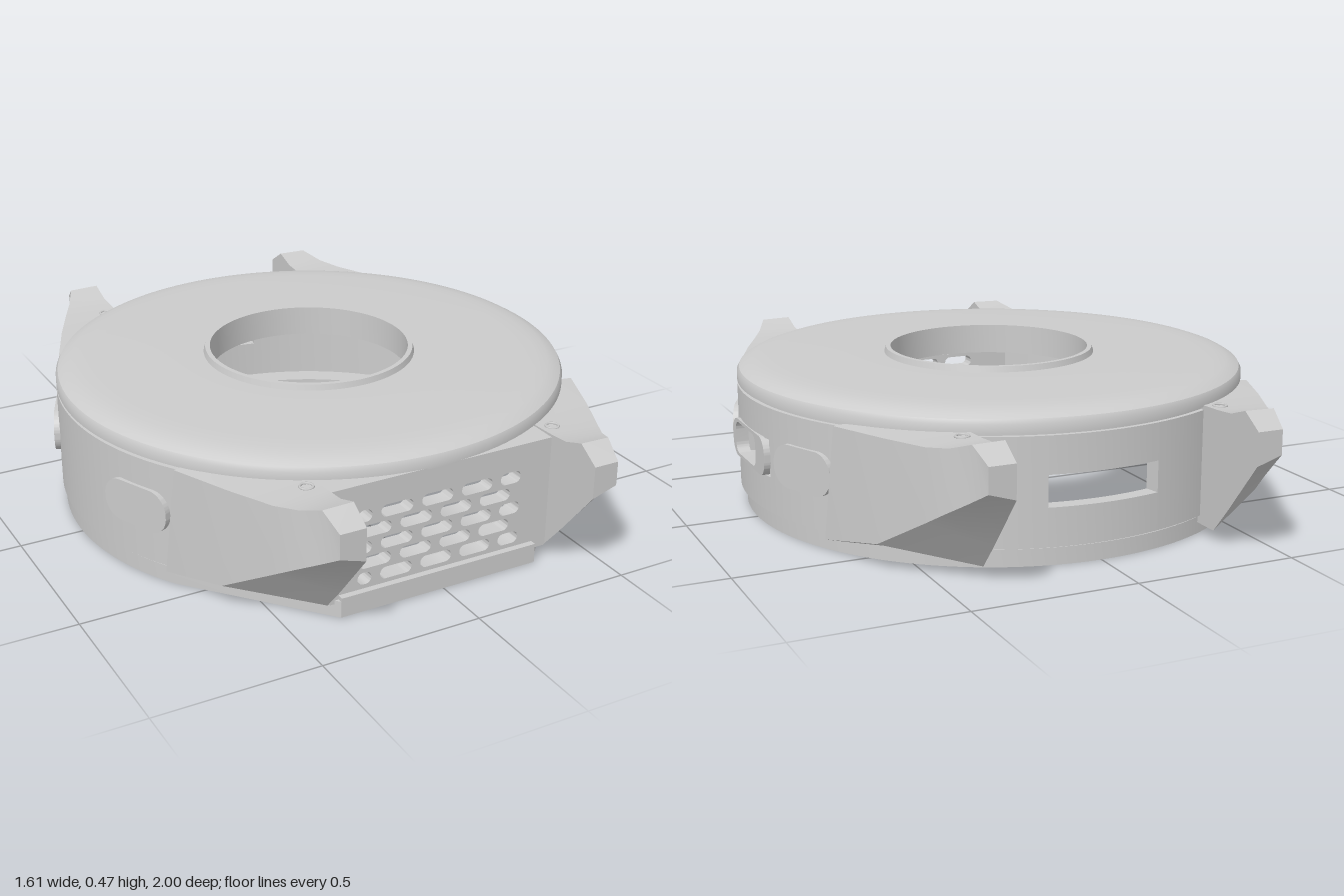
import * as THREE from 'three';
import { toCreasedNormals } from 'three/addons/utils/BufferGeometryUtils.js';

const R = 0.802, RI = 0.755, PI = Math.PI;
const mat = new THREE.MeshStandardMaterial({ color: 0xcccccc, side: THREE.DoubleSide });

function add(parent, name, geo) {
  const mesh = new THREE.Mesh(geo, mat);
  mesh.name = name;
  parent.add(mesh);
  return mesh;
}

function box(parent, name, x0, x1, y0, y1, z0, z1) {
  const geo = new THREE.BoxGeometry(x1 - x0, y1 - y0, z1 - z0);
  return add(parent, name, geo.translate((x0 + x1) / 2, (y0 + y1) / 2, (z0 + z1) / 2));
}

// Extrude a plan shape (drawn in x, -z) upward from y0 to y1
function slab(shape, y0, y1, curveSegments = 64) {
  const geo = new THREE.ExtrudeGeometry(shape, { depth: y1 - y0, bevelEnabled: false, curveSegments });
  return toCreasedNormals(geo.rotateX(-PI / 2).translate(0, y0, 0), 0.5);
}

// Curved piece of wall; angle 0 is +x, PI / 2 is the back
function arcWall(a0, a1, y0, y1, ro = R) {
  const s = new THREE.Shape();
  s.absarc(0, 0, ro, a0, a1, false);
  s.absarc(0, 0, RI, a1, a0, true);
  return slab(s, y0, y1, Math.max(8, Math.ceil((a1 - a0) * 18)));
}

// Rounded outline used for slots, buttons and frames
function roundRect(path, x0, x1, y0, y1, r) {
  path.moveTo(x0 + r, y0);
  path.lineTo(x1 - r, y0);
  path.absarc(x1 - r, y0 + r, r, -PI / 2, 0, false);
  path.lineTo(x1, y1 - r);
  path.absarc(x1 - r, y1 - r, r, 0, PI / 2, false);
  path.lineTo(x0 + r, y1);
  path.absarc(x0 + r, y1 - r, r, PI / 2, PI, false);
  path.lineTo(x0, y0 + r);
  path.absarc(x0 + r, y0 + r, r, PI, PI * 1.5, false);
  return path;
}

function plate(shape, depth) {
  return toCreasedNormals(
    new THREE.ExtrudeGeometry(shape, { depth, bevelEnabled: false, curveSegments: 10 }), 0.6);
}

// Lug sections from tip to body: outer top, inner top, inner bottom, outer bottom
const LUG = [
  [[0.45, 0.385, 1], [0.37, 0.385, 1], [0.37, 0.285, 1], [0.45, 0.31, 1]],
  [[0.465, 0.428, 0.93], [0.37, 0.43, 0.93], [0.37, 0.2, 0.93], [0.48, 0.267, 0.93]],
  [[0.5, 0.404, 0.86], [0.37, 0.406, 0.86], [0.37, 0.115, 0.86], [0.512, 0.225, 0.86]],
  [[0.538, 0.394, 0.79], [0.37, 0.4, 0.79], [0.37, 0.035, 0.79], [0.543, 0.182, 0.79]],
  [[0.605, 0.392, 0.65], [0.37, 0.396, 0.685], [0.37, 0.035, 0.685], [0.62, 0.085, 0.63]],
  [[0.683, 0.39, 0.465], [0.62, 0.394, 0.46], [0.62, 0.035, 0.46], [0.7, 0.045, 0.42]],
];

function lugGeometry(sx, sz) {
  const pos = LUG.flat().flatMap(([x, y, z]) => [x * sx, y, z * sz]);
  const index = [];
  const quad = (a, b, c, d) => index.push(...(sx * sz > 0 ? [a, b, c, a, c, d] : [a, c, b, a, d, c]));
  for (let i = 0; i < LUG.length - 1; i++) {
    for (let j = 0; j < 4; j++) {
      const k = (j + 1) % 4, p = i * 4, q = p + 4;
      quad(p + j, q + j, q + k, p + k);
    }
  }
  const e = (LUG.length - 1) * 4;
  quad(0, 1, 2, 3);
  quad(e + 3, e + 2, e + 1, e);
  const geo = new THREE.BufferGeometry();
  geo.setAttribute('position', new THREE.Float32BufferAttribute(pos, 3));
  geo.setIndex(index);
  return toCreasedNormals(geo, 0.3);
}

export function createModel() {
  const model = new THREE.Group();
  model.name = 'watchCase';

  // Round body, set slightly off the lug centre line
  const body = new THREE.Group();
  body.name = 'roundBody';
  body.position.x = -0.007;
  model.add(body);

  // Top cover with rounded shoulder and raised rim round the hole
  const cover = [[0.36, 0.392], [0.802, 0.392], [0.802, 0.418], [0.795, 0.431], [0.778, 0.441],
    [0.755, 0.449], [0.72, 0.454], [0.67, 0.457], [0.335, 0.457], [0.33, 0.475], [0.315, 0.475],
    [0.315, 0.38], [0.36, 0.38], [0.36, 0.392]].map(([r, y]) => new THREE.Vector2(r, y));
  add(body, 'topCover', toCreasedNormals(new THREE.LatheGeometry(cover, 128), 0.5));

  // Thin side wall with back and right windows, open at the front
  const front = 0.477, back = 0.22, right = 0.2, y0 = 0.06, y1 = 0.383;
  const f0 = PI * 1.5 - front, f1 = PI * 1.5 + front;
  for (const [a, b] of [[right, PI / 2 - back], [PI / 2 + back, f0], [f1, PI * 2 - right]]) {
    add(body, 'wallSection', arcWall(a, b, y0, y1));
  }
  for (const [mid, half, lo, hi] of [[PI / 2, back, 0.175, 0.27], [0, right, 0.17, 0.285]]) {
    add(body, 'windowSill', arcWall(mid - half, mid + half, y0, lo));
    add(body, 'windowHead', arcWall(mid - half, mid + half, hi, y1));
  }
  // Narrow grooves above and below the wall
  add(body, 'upperGroove', arcWall(f1 - 2 * PI, f0, y1, 0.392, 0.788));
  add(body, 'lowerGroove', arcWall(f1 - 2 * PI, f0, 0.05, y0, 0.785));

  // Base ring, narrower inside than the wall, with a straight front edge
  const base = new THREE.Shape();
  base.absarc(-0.012, 0, 0.788, -0.57, PI + 0.57, false);
  base.lineTo(-0.34, -0.815);
  base.lineTo(0.315, -0.815);
  base.closePath();
  base.holes.push(new THREE.Path().absarc(-0.007, 0, 0.68, 0, PI * 2, true));
  add(model, 'baseRing', slab(base, 0, 0.052));
  box(model, 'frontLip', -0.34, 0.315, 0.005, 0.065, 0.74, 0.82);

  // Front grille with staggered slots
  const panel = new THREE.Shape();
  roundRect(panel, -0.37, 0.365, 0.04, 0.392, 0.005);
  [0.097, 0.147, 0.196, 0.246, 0.296].forEach((y, row) => {
    for (let i = -3; i <= 3; i++) {
      const c = -0.021 + i * 0.133 + (row % 2 ? -0.07 : 0);
      const a = Math.max(c - 0.052, -0.28), b = Math.min(c + 0.052, 0.262);
      if (b - a < 0.02) continue;
      const r = Math.min(0.0185, (b - a) / 2.2);
      panel.holes.push(roundRect(new THREE.Path(), a, b, y - 0.019, y + 0.019, r));
    }
  });
  add(model, 'frontGrille', plate(panel, 0.05)).position.z = 0.75;
  box(model, 'grilleTop', -0.37, 0.365, 0.383, 0.396, 0.66, 0.8);
  for (const s of [-1, 1]) {
    box(model, 'grilleCheek', s * 0.357 - 0.013, s * 0.357 + 0.013, 0.04, 0.39, 0.65, 0.79);
  }

  // Lugs with screw rims
  for (const sx of [-1, 1]) {
    for (const sz of [-1, 1]) {
      add(model, 'lug', lugGeometry(sx, sz));
      const rim = add(model, 'screwRim', new THREE.TorusGeometry(0.019, 0.004, 6, 20));
      rim.rotation.x = PI / 2;
      rim.position.set(sx * 0.41, 0.398, sz * 0.74);
    }
  }

  // Pill-shaped buttons, two on each side
  const pill = plate(roundRect(new THREE.Shape(), -0.12, 0.12, -0.066, 0.066, 0.062), 0.065);
  for (const s of [-1, 1]) {
    for (const turn of [-0.415, 0.415]) {
      const a = s * (PI / 2 + turn);
      const button = add(body, 'button', pill);
      button.position.set(0.747 * Math.sin(a), 0.23, 0.747 * Math.cos(a));
      button.rotation.y = a;
    }
  }

  // Frame round the right window, its opening set toward the front
  const frame = roundRect(new THREE.Shape(), -0.165, 0.165, -0.06, 0.06, 0.05);
  frame.holes.push(roundRect(new THREE.Path(), -0.135, 0.075, -0.05, 0.05, 0.03));
  const rightFrame = add(body, 'windowFrame', plate(frame, 0.04));
  rightFrame.rotation.y = PI / 2;
  rightFrame.position.set(0.765, 0.228, 0);

  return model;
}
